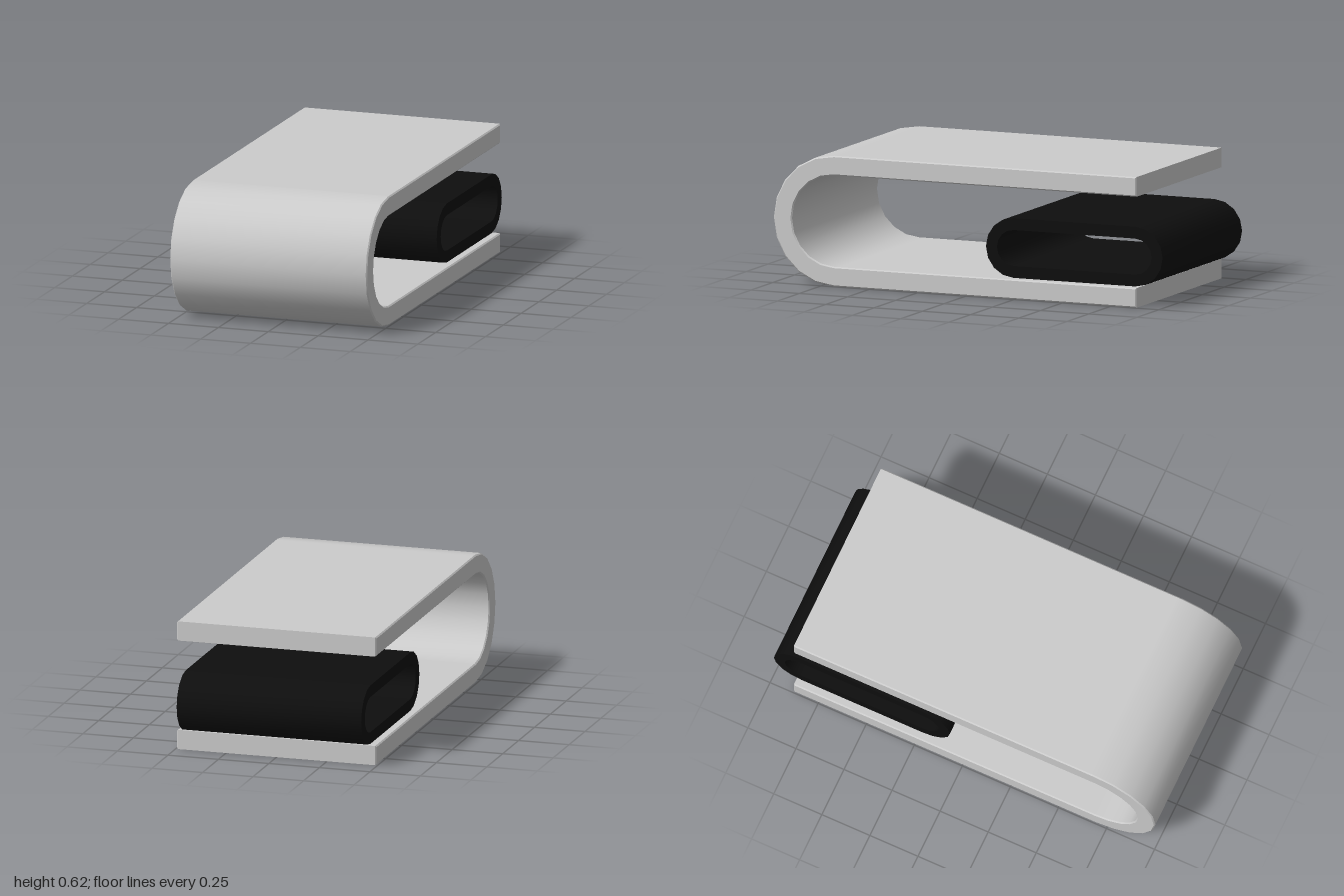
import * as THREE from 'three';
import { toCreasedNormals } from 'three/addons/utils/BufferGeometryUtils.js';

const steel = new THREE.MeshStandardMaterial({ name: 'light grey', color: 0xcbcbcb });
const rubber = new THREE.MeshStandardMaterial({ name: 'black', color: 0x0e0e0e });

// Points (z, y) of a half circle, with a short straight lead at each end
function arc(cz, cy, r, from, to, steps, lead) {
  const pts = [];
  for (let i = 0; i <= steps; i++) {
    const a = from + (to - from) * i / steps;
    pts.push(new THREE.Vector2(cz + r * Math.cos(a), cy + r * Math.sin(a)));
  }
  const first = pts[0].clone(), last = pts[steps].clone();
  first.x += lead;
  last.x += lead;
  return [first, ...pts, last];
}

// Pill outline running between two arc centres
function pill(z0, z1, cy, r) {
  const h = Math.PI / 2;
  return [...arc(z1, cy, r, -h, h, 8, -0.02), ...arc(z0, cy, r, h, 3 * h, 8, 0.02)];
}

// Extrude a (z, y) profile across x, centred
function sweep(name, shape, width, bevel, material) {
  const depth = width - 2 * bevel;
  const geo = new THREE.ExtrudeGeometry(shape, {
    depth, bevelEnabled: bevel > 0, bevelThickness: bevel, bevelSize: bevel,
    bevelOffset: -bevel, bevelSegments: 1,
  });
  geo.translate(0, 0, -depth / 2);
  geo.rotateY(-Math.PI / 2);
  const mesh = new THREE.Mesh(toCreasedNormals(geo, 0.5), material);
  mesh.name = name;
  return mesh;
}

export function createModel() {
  const group = new THREE.Group();
  group.name = 'clip';
  const h = Math.PI / 2, back = -0.88, cz = 0.687, cy = 0.3125, r = 0.3125, t = 0.094;

  // U-shaped band, open at the back
  const band = new THREE.Shape([
    new THREE.Vector2(back, 0),
    ...arc(cz, cy, r, -h, h, 10, -0.02),
    new THREE.Vector2(back, 2 * r),
    new THREE.Vector2(back, 2 * r - t),
    ...arc(cz, cy, r - t, h, -h, 10, -0.02),
    new THREE.Vector2(back, t),
  ]);
  group.add(sweep('bentBand', band, 0.988, 0.006, steel));

  // Flattened hollow loop resting on the lower leg
  const loop = new THREE.Shape(pill(-0.857, -0.228, 0.239, 0.143));
  loop.holes.push(new THREE.Path(pill(-0.857, -0.228, 0.239, 0.086)));
  group.add(sweep('innerLoop', loop, 0.914, 0, rubber));

  return group;
}
